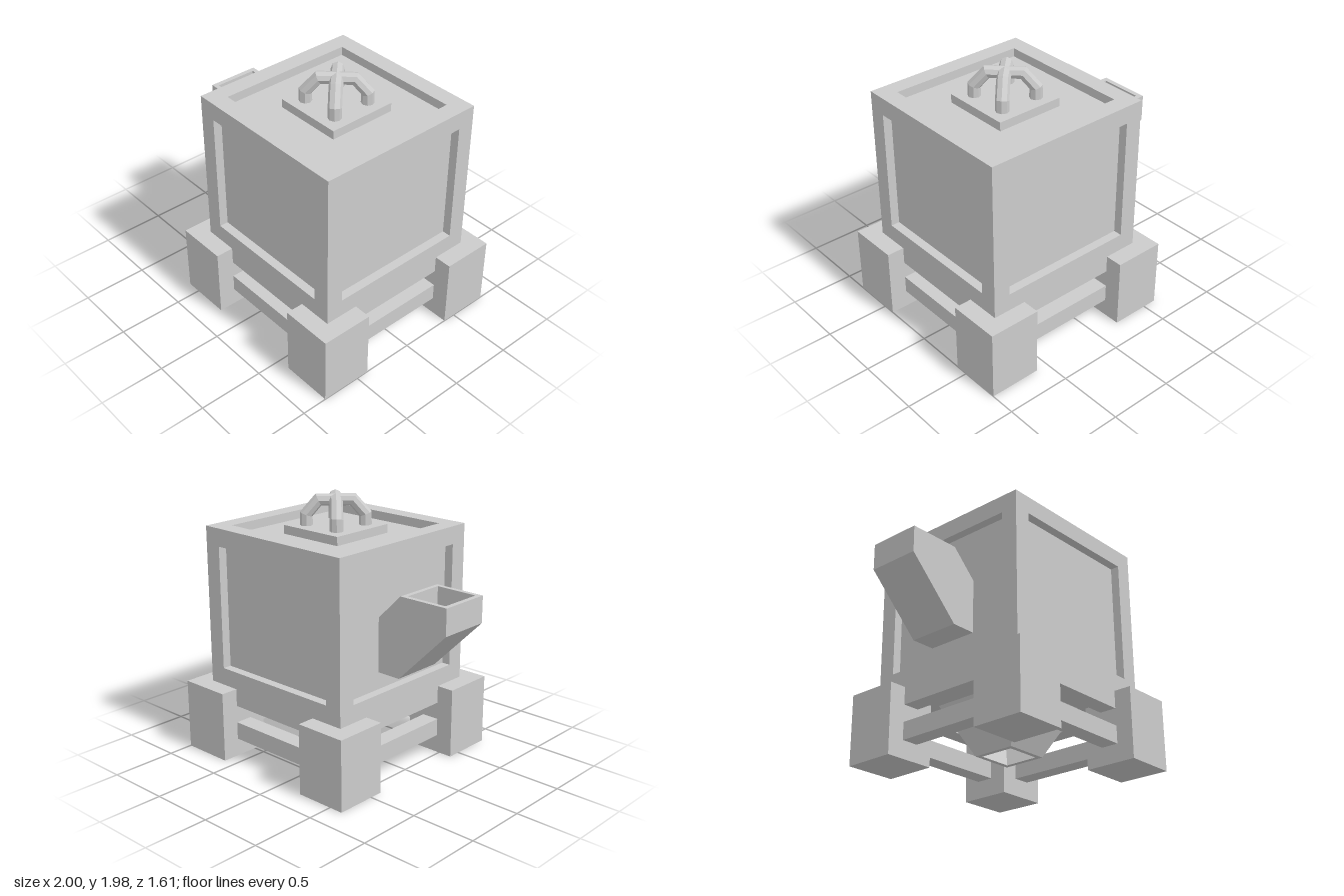
import * as THREE from 'three';

const mat = new THREE.MeshStandardMaterial({ color: 0xcccccc, flatShading: true, side: THREE.DoubleSide });
const CX = 0.195; // centre of the body and feet along x

function add(parent, name, geometry, x = 0, y = 0, z = 0) {
  const mesh = new THREE.Mesh(geometry, mat);
  mesh.name = name;
  mesh.position.set(x, y, z);
  parent.add(mesh);
  return mesh;
}

// Box spanning y0..y1, centred on x and z
function box(parent, name, w, y0, y1, d, x = 0, z = 0) {
  return add(parent, name, new THREE.BoxGeometry(w, y1 - y0, d), x, (y0 + y1) / 2, z);
}

const square = (Type, h) => new Type([[-h, -h], [h, -h], [h, h], [-h, h]].map(p => new THREE.Vector2(...p)));

// Horizontal square ring from y0 to y1
function squareFrame(parent, name, outer, inner, y0, y1) {
  const shape = square(THREE.Shape, outer);
  shape.holes.push(square(THREE.Path, inner));
  const g = new THREE.ExtrudeGeometry(shape, { depth: y1 - y0, bevelEnabled: false });
  add(parent, name, g.rotateX(-Math.PI / 2), 0, y0, 0);
}

// Slab with a side profile in x and y, from z0 to z1
function slab(parent, name, points, z0, z1) {
  const shape = new THREE.Shape(points.map(p => new THREE.Vector2(...p)));
  add(parent, name, new THREE.ExtrudeGeometry(shape, { depth: z1 - z0, bevelEnabled: false }), 0, 0, z0);
}

// Angular path that keeps its corners when swept
class CornerPath extends THREE.Curve {
  constructor(points) {
    super();
    this.points = points;
  }
  index(u) {
    return Math.round(u * (this.points.length - 1));
  }
  getPointAt(u, target = new THREE.Vector3()) {
    return target.copy(this.points[this.index(u)]);
  }
  getTangentAt(u, target = new THREE.Vector3()) {
    const i = this.index(u), p = this.points, sum = new THREE.Vector3();
    if (i > 0) sum.add(p[i].clone().sub(p[i - 1]).normalize());
    if (i < p.length - 1) sum.add(p[i + 1].clone().sub(p[i]).normalize());
    return target.copy(sum.normalize());
  }
}

export function createModel() {
  const model = new THREE.Group();
  model.name = 'hopperTank';

  const tank = new THREE.Group();
  tank.name = 'tank';
  tank.position.x = CX;
  model.add(tank);

  // Body: recessed core inside a frame of rings and corner posts
  box(tank, 'recessedPanels', 1.2, 0.472, 1.683, 1.2);
  squareFrame(tank, 'topFrame', 0.668, 0.535, 1.615, 1.75);
  squareFrame(tank, 'baseFrame', 0.668, 0.535, 0.405, 0.675);

  // Lid
  box(tank, 'lid', 0.535, 1.683, 1.749, 0.535);

  for (const sx of [-1, 1]) {
    for (const sz of [-1, 1]) {
      box(tank, 'cornerPost', 0.133, 0.675, 1.615, 0.133, sx * 0.6015, sz * 0.6015);
      box(tank, 'foot', 0.403, 0, 0.54, 0.403, sx * 0.603, sz * 0.603);
    }
    // Rails joining the feet
    box(tank, 'sideRail', 0.135, 0.137, 0.272, 0.81, sx * 0.603, 0);
    box(tank, 'crossRail', 0.81, 0.137, 0.272, 0.135, 0, sx * 0.603);
  }

  // Two crossed arches forming the handle
  const arch = [[-0.215, 1.7], [-0.215, 1.83], [-0.125, 1.935], [0.125, 1.935], [0.215, 1.83], [0.215, 1.7]]
    .map(([x, y]) => new THREE.Vector3(x, y, 0));
  for (const s of [-1, 1]) {
    const g = new THREE.TubeGeometry(new CornerPath(arch), arch.length - 1, 0.049, 8, false);
    add(tank, 'handleArch', g).rotation.y = s * Math.PI / 4;
  }

  // Square outlet funnel under the body, hollow from below
  const funnel = [[0.363, 0.475], [0.17, 0.088], [0.135, 0.088], [0.3, 0.42], [0, 0.42]]
    .map(([r, y]) => new THREE.Vector2(r * Math.SQRT2, y)).reverse();
  add(tank, 'outletFunnel', new THREE.LatheGeometry(funnel, 4, Math.PI / 4));

  // Spout on one side, open at the top with a sloping floor
  const spout = new THREE.Group();
  spout.name = 'spout';
  model.add(spout);
  const rear = [[-0.6, 1.41], [-0.4, 1.21], [-0.4, 0.805], [-0.595, 0.805], [-1, 1.21]];
  const cavity = [[-0.963, 1.41], [-0.963, 1.22], [-0.635, 0.895], [-0.635, 1.41]];
  slab(spout, 'spoutTrough', [[-1, 1.41], ...cavity, ...rear], -0.165, 0.165);
  slab(spout, 'spoutWall', [[-1, 1.41], ...rear], 0.165, 0.2);
  slab(spout, 'spoutWall', [[-1, 1.41], ...rear], -0.2, -0.165);

  return model;
}
